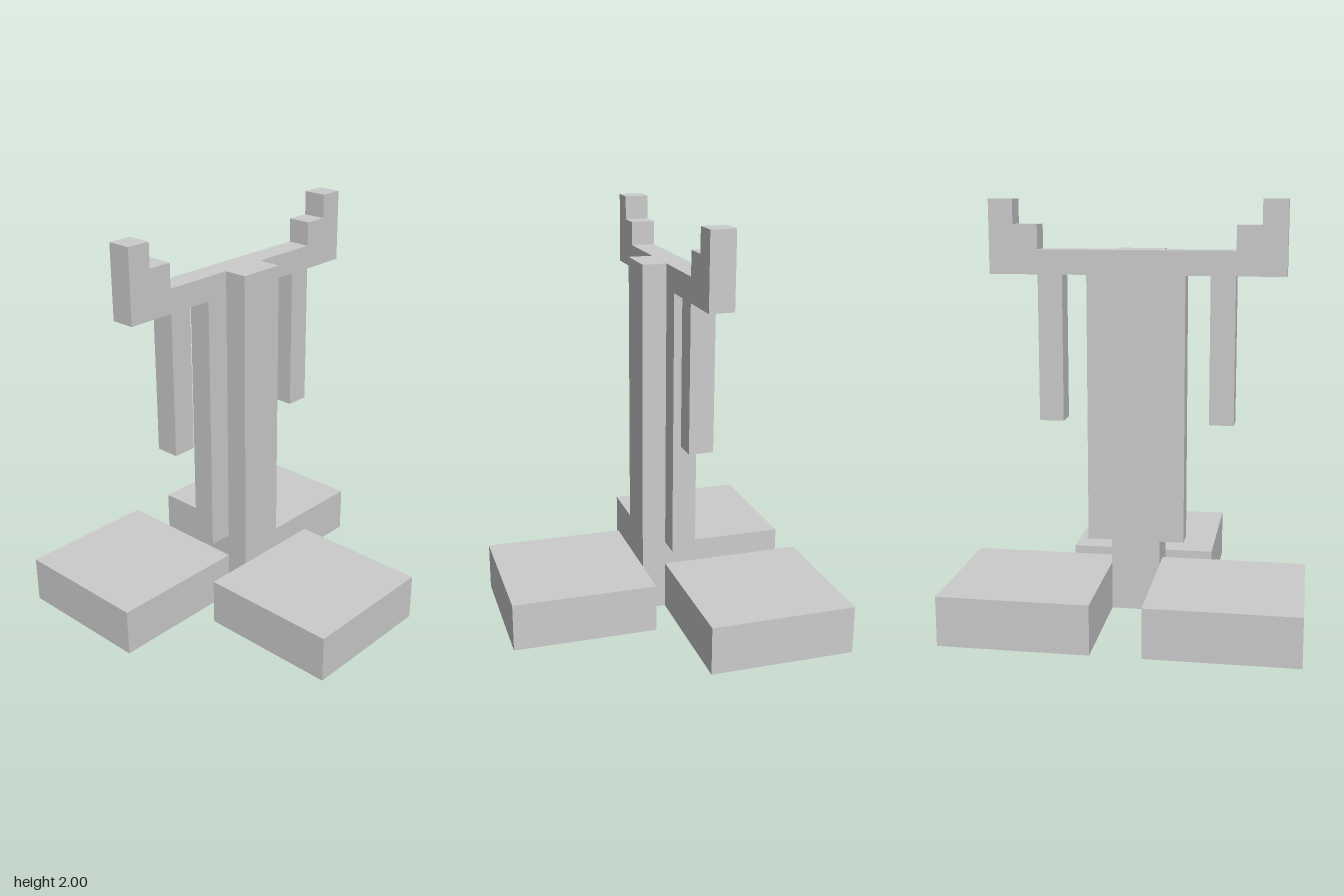
import * as THREE from 'three';

const U = 2 / 17; // the model sits on a grid 17 units high

export function createModel() {
  const model = new THREE.Group();
  const material = new THREE.MeshStandardMaterial({ color: 0xcccccc, flatShading: true });

  const add = (name, geometry) => {
    const mesh = new THREE.Mesh(geometry, material);
    mesh.name = name;
    model.add(mesh);
  };
  // Box given by its extents in grid units
  const box = (name, x0, x1, y0, y1, z0, z1) => add(name,
    new THREE.BoxGeometry((x1 - x0) * U, (y1 - y0) * U, (z1 - z0) * U)
      .translate((x0 + x1) * U / 2, (y0 + y1) * U / 2, (z0 + z1) * U / 2));

  // Rear slab: stem, wide trunk, hanging strips and stepped arms in one outline
  const half = [
    [1, 0], [1, 3], [2, 3], [2, 14], [3, 14], [3, 8], [4, 8], [4, 14],
    [6, 14], [6, 17], [5, 17], [5, 16], [4, 16], [4, 15],
  ];
  const mirrored = half.map(([x, y]) => [-x, y]).reverse();
  const outline = new THREE.Shape(
    [...half, ...mirrored].map(([x, y]) => new THREE.Vector2(x * U, y * U)));
  add('trunkAndArms', new THREE.ExtrudeGeometry(outline, { depth: U, bevelEnabled: false })
    .translate(0, 0, -1.5 * U));

  // Raised front of the column
  box('columnFront', -1, 1, 0, 15, -0.5, 0.5);

  // Three square foot pads
  box('frontFoot', -3, 3, 0, 2, 0.5, 6.5);
  box('leftRearFoot', 1, 7, 0, 2, -6.5, -0.5);
  box('rightRearFoot', -7, -1, 0, 2, -6.5, -0.5);

  return model;
}
